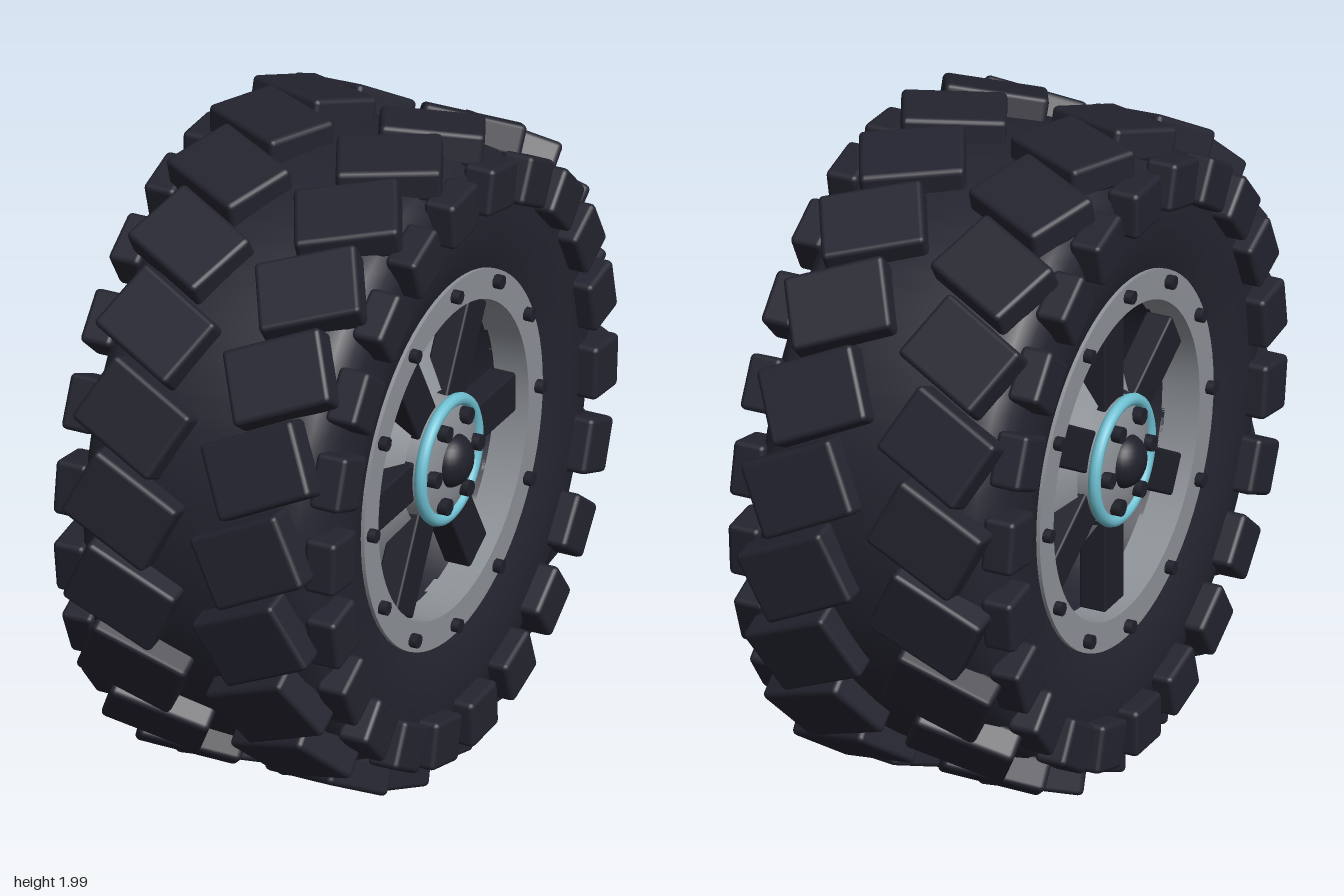
import * as THREE from 'three';
import { toCreasedNormals } from 'three/addons/utils/BufferGeometryUtils.js';
import { RoundedBoxGeometry } from 'three/addons/geometries/RoundedBoxGeometry.js';

const mat = (name, color) => {
  const m = new THREE.MeshStandardMaterial({ color });
  m.name = name;
  return m;
};

export function createModel() {
  const rubber = mat('rubber', 0x242430);
  const dark = mat('darkMetal', 0x20202b);
  const steel = mat('steel', 0x8e9398);
  const cyan = mat('cyanRing', 0x70c2d4);

  const wheel = new THREE.Group();
  wheel.name = 'wheel';
  const DEG = Math.PI / 180;

  const add = (parent, name, geometry, material) => {
    const mesh = new THREE.Mesh(geometry, material);
    mesh.name = name;
    parent.add(mesh);
    return mesh;
  };

  // Surface of revolution about the x axis from [radius, x] pairs
  const lathe = (points, crease = 0.6) => {
    const g = new THREE.LatheGeometry(points.map(p => new THREE.Vector2(p[0], p[1])), 72);
    g.rotateZ(-Math.PI / 2);
    return toCreasedNormals(g, crease);
  };

  // Part at a radius and angle round the axle; local z points outward, y along the rim
  const around = (parent, name, geometry, material, x, radius, angle) => {
    const pivot = new THREE.Group();
    pivot.name = name + 'Pivot';
    pivot.rotation.x = -angle;
    parent.add(pivot);
    const mesh = add(pivot, name, geometry, material);
    mesh.position.set(x, 0, radius);
    return mesh;
  };

  // Tyre carcass, closed at the bore
  const half = [[0.475, 0.27], [0.53, 0.355], [0.6, 0.382], [0.68, 0.395], [0.76, 0.395],
    [0.82, 0.388], [0.87, 0.37], [0.905, 0.33], [0.92, 0.26]];
  const profile = [
    ...half.map(([r, x]) => [r, -x]),
    ...half.slice().reverse(),
    [0.475, -0.27],
  ];
  add(wheel, 'tyre', lathe(profile), rubber);

  // Tread blocks and shoulder blocks, staggered between the two sides
  const COUNT = 22;
  const step = 2 * Math.PI / COUNT;
  const treadBlock = new RoundedBoxGeometry(0.305, 0.23, 0.1, 2, 0.016);
  const shoulderBlock = new RoundedBoxGeometry(0.1, 0.165, 0.145, 2, 0.016);
  for (const side of [1, -1]) {
    const phase = side > 0 ? 0.25 : 0.5;
    for (let i = 0; i < COUNT; i++) {
      const angle = (i + phase) * step;
      const block = around(wheel, 'treadBlock', treadBlock, rubber, side * 0.207, 0.937, angle);
      block.rotation.z = side * 26 * DEG;
      around(wheel, 'shoulderBlock', shoulderBlock, rubber, side * 0.405, 0.832, angle);
    }
  }

  // Shared geometry for the rim faces
  const flange = lathe([[0.565, 0.34], [0.565, 0.38], [0.475, 0.38], [0.475, 0.26]]);
  const cone = lathe([[0.476, 0.12], [0.2, 0.32]]);
  const hub = lathe([[0.19, 0.3], [0.185, 0.36], [0.16, 0.37], [0.1, 0.382], [0, 0.386]], 0.8);
  const ring = new THREE.TorusGeometry(0.179, 0.019, 10, 56).rotateY(Math.PI / 2);
  const cap = new THREE.SphereGeometry(0.08, 28, 16).scale(0.75, 1, 1);
  const spoke = new RoundedBoxGeometry(0.085, 0.125, 0.32, 2, 0.008);
  const bolt = new THREE.CylinderGeometry(0.021, 0.021, 0.035, 8).rotateZ(-Math.PI / 2);
  const hubBolt = new THREE.CylinderGeometry(0.025, 0.025, 0.045, 8).rotateZ(-Math.PI / 2);

  for (const side of [1, -1]) {
    const face = new THREE.Group();
    face.name = side > 0 ? 'leftRimFace' : 'rightRimFace';
    if (side < 0) face.rotation.y = Math.PI;
    wheel.add(face);

    add(face, 'rimFlange', flange, steel);
    add(face, 'rimCone', cone, steel);
    add(face, 'hub', hub, steel);
    add(face, 'hubRing', ring, cyan).position.x = 0.365;
    add(face, 'hubCap', cap, dark).position.x = 0.375;

    // Spokes of the two faces are offset by half a step
    for (let i = 0; i < 6; i++) {
      const angle = i * 60 * DEG;
      const offset = side > 0 ? 0 : 30 * DEG;
      around(face, 'spoke', spoke, dark, 0.3, 0.31, angle + offset);
      around(face, 'hubBolt', hubBolt, dark, 0.38, 0.135, angle);
    }
    for (let i = 0; i < 12; i++) {
      around(face, 'rimBolt', bolt, dark, 0.387, 0.53, i * 30 * DEG);
    }
  }

  // Stand the wheel on the ground
  wheel.position.y = 1;
  const model = new THREE.Group();
  model.name = 'offRoadWheel';
  model.add(wheel);
  return model;
}
